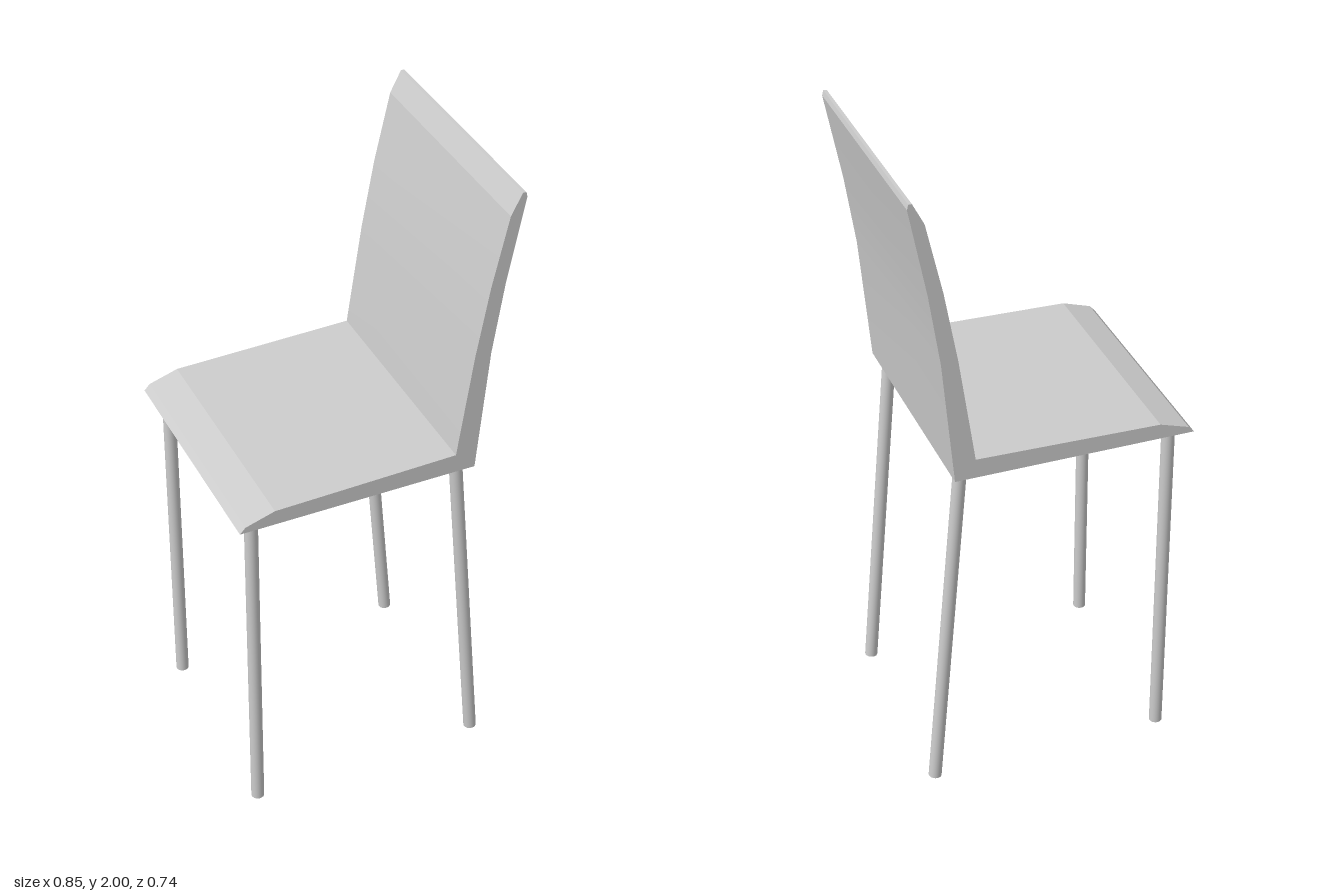
import * as THREE from 'three';
import { toCreasedNormals } from 'three/addons/utils/BufferGeometryUtils.js';

const material = new THREE.MeshStandardMaterial({ color: 0xcccccc });

// Round leg running between two points
function makeLeg(name, top, bottom) {
  const axis = top.clone().sub(bottom);
  const leg = new THREE.Mesh(new THREE.CylinderGeometry(0.02, 0.02, axis.length(), 20), material);
  leg.name = name;
  leg.position.copy(top).add(bottom).multiplyScalar(0.5);
  leg.quaternion.setFromUnitVectors(new THREE.Vector3(0, 1, 0), axis.normalize());
  return leg;
}

export function createModel() {
  const chair = new THREE.Group();
  chair.name = 'chair';

  // Seat and backrest: one L-shaped side profile, extruded across the width
  const profile = [
    [-0.427, 1.107], [0.305, 1.11],                              // underside
    [0.34, 1.5], [0.373, 1.72], [0.424, 1.985], [0.42, 2],       // rear of the back
    [0.41, 2], [0.377, 1.935], [0.329, 1.72], [0.29, 1.5],       // front of the back
    [0.243, 1.17], [-0.32, 1.155], [-0.41, 1.126],               // top of the seat
  ].map(([x, y]) => new THREE.Vector2(x, y));
  const width = 0.74;
  const shell = new THREE.ExtrudeGeometry(new THREE.Shape(profile), { depth: width, bevelEnabled: false });
  shell.translate(0, 0, -width / 2);
  const seat = new THREE.Mesh(toCreasedNormals(shell, 0.15), material);
  seat.name = 'seatAndBackrest';
  chair.add(seat);

  // Straight legs under the seat's free edge, splayed legs under the backrest
  for (const [side, z] of [['A', 0.317], ['B', -0.313]]) {
    chair.add(
      makeLeg('straightLeg' + side, new THREE.Vector3(-0.372, 1.109, z), new THREE.Vector3(-0.372, 0, z)),
      makeLeg('splayedLeg' + side, new THREE.Vector3(0.27, 1.109, z), new THREE.Vector3(0.365, 0.002, z)),
    );
  }
  return chair;
}
